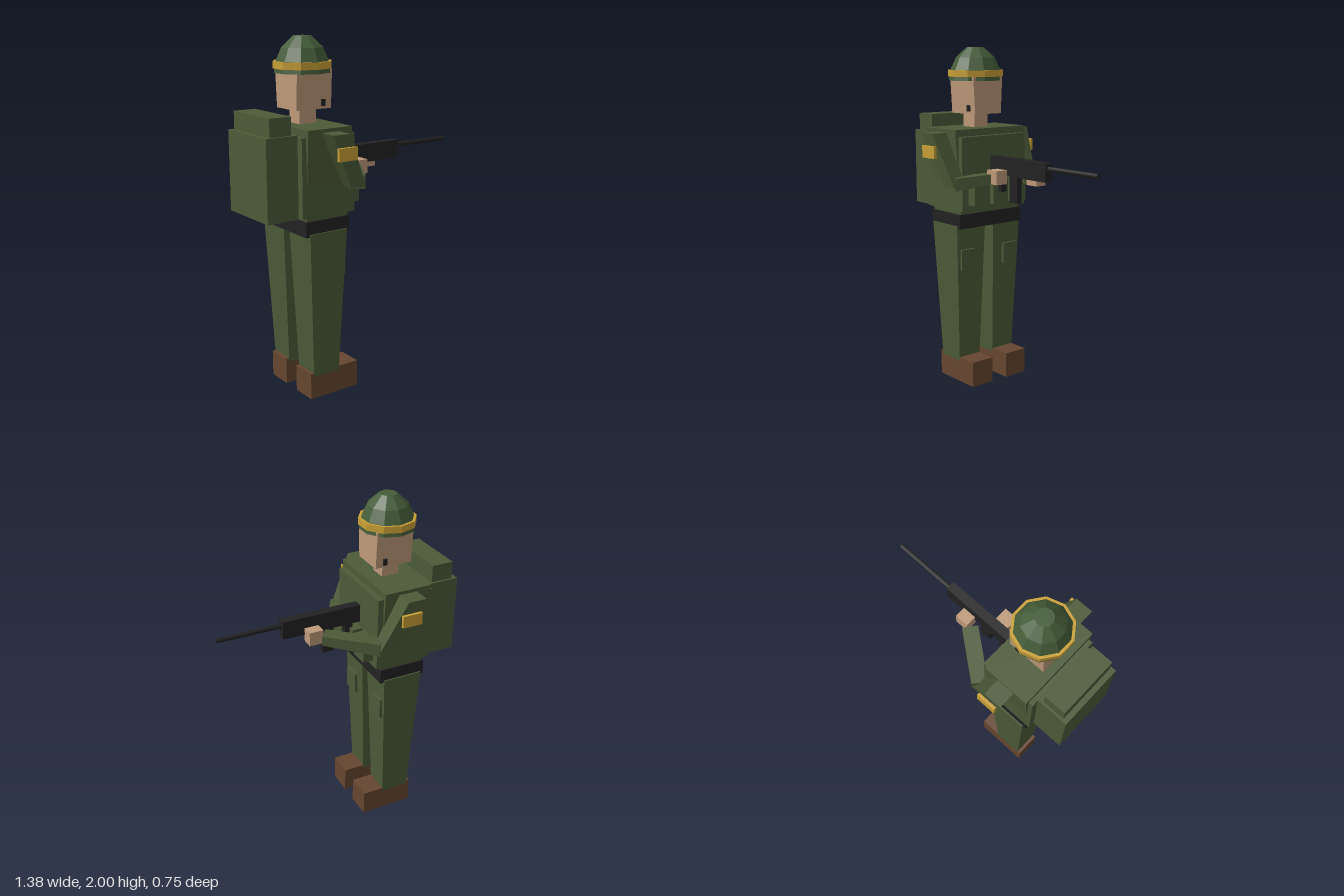
import * as THREE from 'three';

const mat = (name, color) => Object.assign(new THREE.MeshStandardMaterial({ color }), { name });
const V = (x, y, z) => new THREE.Vector3(x, y, z);

export function createModel() {
  const model = new THREE.Group();
  model.name = 'soldier';
  const green = mat('fatigue green', 0x4c5b38);
  const helmetGreen = mat('helmet green', 0x445c38);
  const skin = mat('skin', 0xbf9a7a);
  const brown = mat('boot brown', 0x664630);
  const black = mat('black', 0x222223);
  const gold = mat('gold', 0xc9a036);

  const add = (name, geometry, material) => {
    const mesh = new THREE.Mesh(geometry, material);
    mesh.name = name;
    model.add(mesh);
    return mesh;
  };
  // Box given by its limits on each axis
  const box = (name, material, [x0, x1], [y0, y1], [z0, z1]) =>
    add(name, new THREE.BoxGeometry(x1 - x0, y1 - y0, z1 - z0)
      .translate((x0 + x1) / 2, (y0 + y1) / 2, (z0 + z1) / 2), material);
  // Four-sided prism between two end sections, each a centre with two spans
  const prism = (name, material, a, b) => {
    const g = new THREE.BoxGeometry(1, 1, 1);
    const p = g.attributes.position;
    for (let i = 0; i < p.count; i++) {
      const e = p.getY(i) < 0 ? a : b;
      const q = e.c.clone().addScaledVector(e.u, p.getX(i)).addScaledVector(e.v, p.getZ(i));
      p.setXYZ(i, q.x, q.y, q.z);
    }
    g.computeVertexNormals();
    return add(name, g, material);
  };
  // Level section for prisms that run upward
  const level = (y, [x0, x1], [z0, z1]) => ({
    c: V((x0 + x1) / 2, y, (z0 + z1) / 2), u: V(x1 - x0, 0, 0), v: V(0, 0, z1 - z0)
  });
  const span = (s, a, b) => (s > 0 ? [a, b] : [-b, -a]);
  // Faceted ten-sided turned part around the head axis
  const turned = (name, material, profile) => {
    const g = new THREE.LatheGeometry(profile.map(([r, y]) => new THREE.Vector2(r, y)), 10).toNonIndexed();
    g.computeVertexNormals();
    return add(name, g, material).position.set(-0.335, 0, 0);
  };

  // Torso, vest and belt
  prism('torso', green, level(1.03, [-0.465, -0.2], [-0.22, 0.22]), level(1.535, [-0.475, -0.195], [-0.258, 0.258]));
  box('vest', green, [-0.5, -0.163], [1.062, 1.495], [-0.235, 0.235]);
  box('belt', black, [-0.475, -0.195], [0.955, 1.04], [-0.23, 0.23]);
  [-0.137, 0, 0.137].forEach(z => box('vestPouch', green, [-0.17, -0.1], [1.1, 1.24], [z - 0.055, z + 0.055]));

  // Backpack and bedroll
  box('backpack', green, [-0.69, -0.5], [1.055, 1.505], [-0.195, 0.195]);
  box('bedroll', green, [-0.66, -0.53], [1.5, 1.605], [-0.182, 0.182]);

  // Neck, head and helmet
  box('neck', skin, [-0.39, -0.285], [1.53, 1.62], [-0.05, 0.05]);
  prism('head', skin, level(1.615, [-0.44, -0.217], [-0.096, 0.096]), level(1.83, [-0.44, -0.217], [-0.108, 0.108]));
  turned('helmet', helmetGreen, [[0, 1.807], [0.158, 1.807], [0.147, 1.87], [0.115, 1.94], [0.05, 2], [0, 2]]);
  turned('helmetBand', gold, [[0.145, 1.83], [0.163, 1.83], [0.163, 1.868], [0.145, 1.868]]);

  for (const s of [1, -1]) {
    // Legs, boots and thigh pockets
    box('boot', brown, [-0.44, -0.12], [0, 0.152], span(s, 0.053, 0.204));
    prism('trouserLeg', green, level(0.13, [-0.42, -0.25], span(s, 0.053, 0.204)),
      level(0.97, [-0.455, -0.215], span(s, 0.03, 0.238)));
    box('thighPocket', green, [-0.24, -0.207], [0.7, 0.825], span(s, 0.105, 0.21));

    // Upper arm, shoulder patch and cheek mark
    prism('upperArm', green, level(1.21, [-0.235, -0.14], span(s, 0.21, 0.308)),
      level(1.515, [-0.388, -0.28], span(s, 0.25, 0.358)));
    box('shoulderPatch', gold, [-0.36, -0.242], [1.375, 1.445], span(s, 0.355, 0.373));
    box('cheekMark', black, [-0.284, -0.26], [1.63, 1.667], span(s, 0.095, 0.107));
  }

  // Forearms reaching from the elbows to the weapon
  const forearm = (from, to) => {
    const u = to.clone().sub(from).setY(0).cross(V(0, 1, 0)).normalize();
    const end = (c, w, h) => ({ c, u: u.clone().multiplyScalar(w), v: V(0, h, 0) });
    prism('forearm', green, end(from, 0.09, 0.075), end(to, 0.09, 0.055));
  };
  forearm(V(-0.177, 1.23, 0.28), V(-0.06, 1.262, 0.075));
  forearm(V(-0.167, 1.23, -0.275), V(0.09, 1.255, -0.078));
  box('rightHand', skin, [-0.075, 0.012], [1.23, 1.31], [0.047, 0.125]);
  box('leftHand', skin, [0.1, 0.183], [1.228, 1.31], [-0.093, -0.025]);

  // Rifle
  box('rifleBody', black, [-0.165, 0.313], [1.27, 1.375], [-0.027, 0.027]);
  box('rifleMagazine', black, [0, 0.065], [1.118, 1.275], [-0.018, 0.018]);
  box('rifleGrip', black, [-0.12, -0.072], [1.17, 1.275], [-0.018, 0.018]);
  add('rifleBarrel', new THREE.CylinderGeometry(0.014, 0.014, 0.39, 8).rotateZ(Math.PI / 2), black)
    .position.set(0.495, 1.343, 0);
  return model;
}
